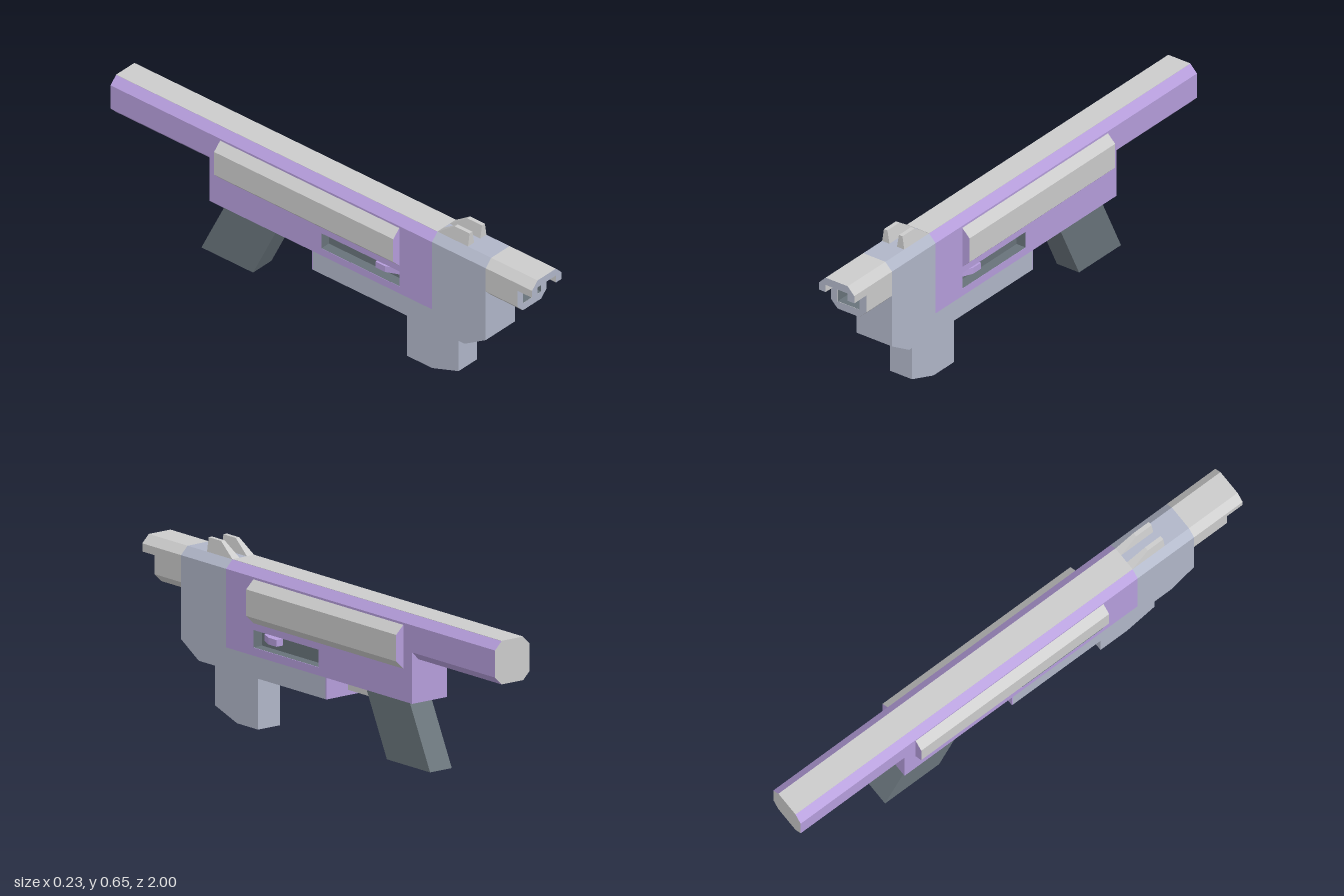
import * as THREE from 'three';

const paint = (color) => new THREE.MeshStandardMaterial({ color });
const grey = paint(0xcccccc);
const blue = paint(0xb0b6c8);
const purple = paint(0xb59ddb);
const dark = paint(0x68737a);

const toShape = (pts) => new THREE.Shape(pts.map(([a, b]) => new THREE.Vector2(a, b)));
const toHole = (pts) => new THREE.Path(pts.map(([a, b]) => new THREE.Vector2(a, b)));
const rect = (a0, b0, a1, b1) => [[a0, b0], [a1, b0], [a1, b1], [a0, b1]];
const mirrorX = (pts) => pts.map(([x, y]) => [-x, y]);

export function createModel() {
  const group = new THREE.Group();

  function add(name, geometry, material) {
    const mesh = new THREE.Mesh(geometry, material);
    mesh.name = name;
    group.add(mesh);
    return mesh;
  }

  function extrude(pts, depth, hole) {
    const shape = toShape(pts);
    if (hole) shape.holes.push(toHole(hole));
    return new THREE.ExtrudeGeometry(shape, { depth, bevelEnabled: false });
  }

  // x-y section swept along z
  function section(name, pts, z0, z1, caps, sides, hole) {
    return add(name, extrude(pts, z1 - z0, hole).translate(0, 0, z0), [caps, sides]);
  }

  // z-y side profile swept across x
  function profile(name, pts, half, material, hole) {
    const g = extrude(pts, half * 2, hole).translate(0, 0, -half).rotateY(-Math.PI / 2);
    return add(name, g, material);
  }

  function box(name, size, pos, material) {
    return add(name, new THREE.BoxGeometry(...size).translate(...pos), material);
  }

  // inward-facing box with one open face (0 +x, 1 -x, 4 +z)
  function pocket(name, size, pos, open) {
    const g = new THREE.BoxGeometry(...size);
    const index = Array.from(g.index.array);
    index.splice(open * 6, 6);
    g.setIndex(index.reverse());
    g.clearGroups();
    g.computeVertexNormals();
    add(name, g.translate(...pos), dark);
  }

  // Octagonal barrel: rear, middle and nose
  const octagon = [[-0.05, 0.44], [0.05, 0.44], [0.08, 0.47], [0.08, 0.57],
    [0.05, 0.6], [-0.05, 0.6], [-0.08, 0.57], [-0.08, 0.47]];
  section('rearBarrel', octagon, -1, 0.525, grey, purple);
  box('topStrip', [0.1, 0.002, 1.525], [0, 0.6, -0.2375], grey);
  section('middleBarrel', octagon, 0.525, 0.78, blue, blue);
  section('noseBarrel', octagon, 0.78, 0.93, blue, grey, rect(-0.05, 0.47, 0.05, 0.57));
  section('muzzleHood', [[-0.08, 0.54], [-0.05, 0.54], [-0.05, 0.57], [0.05, 0.57], [0.05, 0.54],
    [0.08, 0.54], [0.08, 0.57], [0.05, 0.6], [-0.05, 0.6], [-0.08, 0.57]], 0.93, 1, blue, grey);
  pocket('bore', [0.098, 0.098, 0.14], [0, 0.52, 0.86], 4);

  // Receiver: purple rear half with a slot, blue front and underside
  profile('receiver', rect(-0.53, 0.28, 0.525, 0.47), 0.08, purple, rect(0, 0.31, 0.37, 0.375));
  profile('frontBody', [[0.78, 0.47], [0.78, 0.26], [0.68, 0.2], [-0.04, 0.2], [-0.04, 0.28],
    [0.525, 0.28], [0.525, 0.47]], 0.08, blue);
  box('bodyEndPlate', [0.16, 0.08, 0.004], [0, 0.24, -0.042], purple);

  // Magazine, grip and trigger
  profile('magazine', [[0.625, 0.2], [0.625, 0.042], [0.5, 0], [0.38, 0], [0.38, 0.2]], 0.05, blue);
  profile('grip', [[-0.23, 0.28], [-0.475, 0.28], [-0.595, 0.035], [-0.35, 0.035]], 0.05, dark);
  box('trigger', [0.06, 0.04, 0.18], [0, 0.26, -0.195], grey);

  // Paired parts on both sides
  for (const side of [1, -1]) {
    const label = side > 0 ? 'left' : 'right';
    const flip = (pts) => (side > 0 ? pts : mirrorX(pts));

    section(label + 'SidePanel', flip([[0.08, 0.4], [0.113, 0.432], [0.113, 0.53], [0.08, 0.562]]),
      -0.48, 0.37, purple, grey);

    pocket(label + 'Slot', [0.04, 0.063, 0.368], [side * 0.06, 0.3425, 0.185], side > 0 ? 0 : 1);

    // Lever: a block with a ramp towards the front
    const lever = extrude(flip([[0.04, 0.25], [0.072, 0.25], [0.072, 0.295], [0.05, 0.345], [0.04, 0.345]]), 0.025);
    add(label + 'Lever', lever.rotateX(Math.PI / 2).translate(0, 0.36, 0), purple);

    // Sight fin: tapered upwards, with a sloped rear
    const fin = extrude(flip([[0.017, 0.6], [0.05, 0.6], [0.042, 0.652], [0.026, 0.652]]), 0.145)
      .translate(0, 0, 0.525);
    const p = fin.attributes.position;
    for (let i = 0; i < p.count; i++) {
      if (p.getY(i) > 0.63 && p.getZ(i) < 0.6) p.setZ(i, 0.6);
    }
    fin.computeVertexNormals();
    add(label + 'Sight', fin, grey);
  }

  return group;
}
